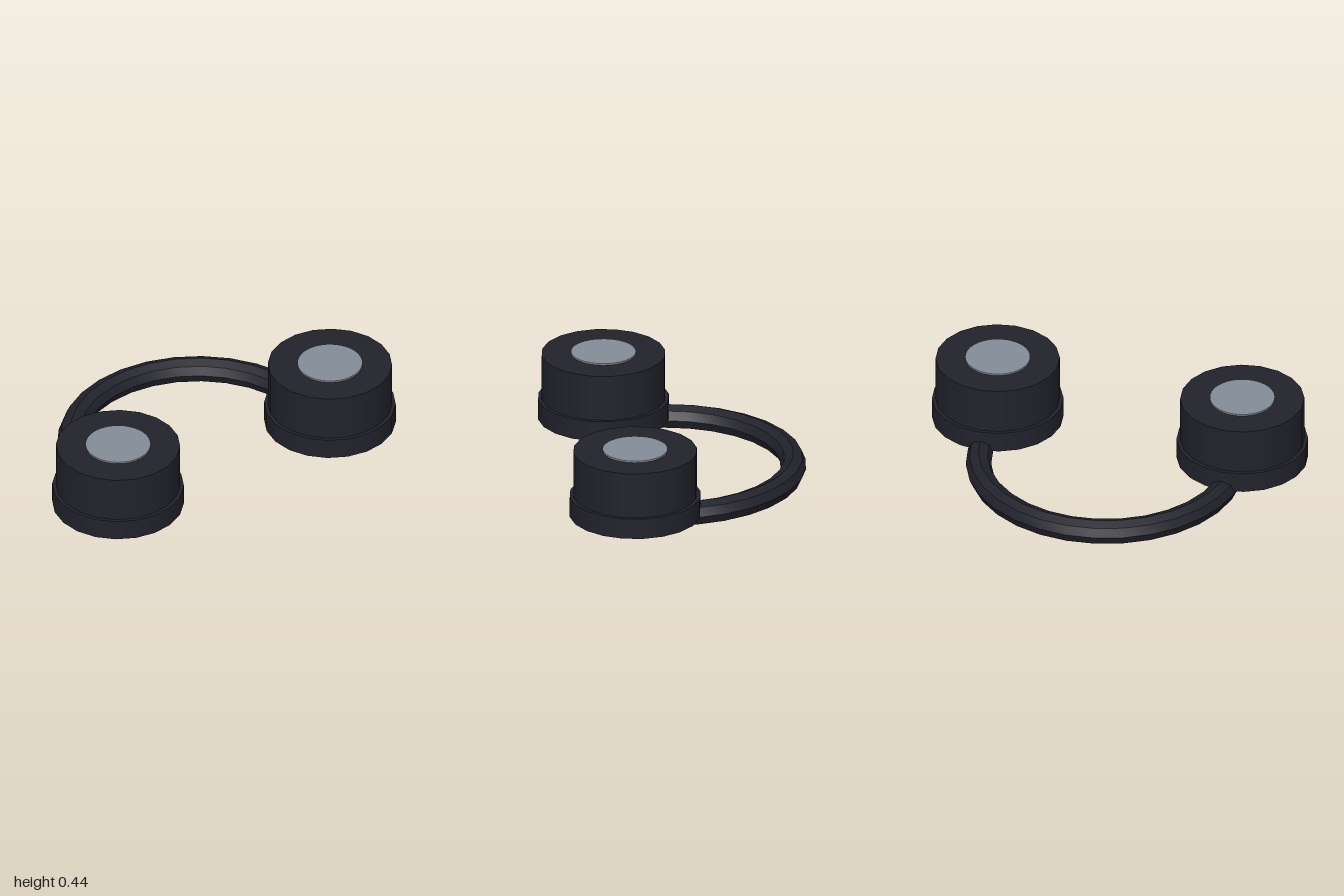
import * as THREE from 'three';
import { toCreasedNormals } from 'three/addons/utils/BufferGeometryUtils.js';

export function createModel() {
  const model = new THREE.Group();
  model.name = 'headphones';

  const shell = new THREE.MeshStandardMaterial({ color: 0x22222c });
  shell.name = 'dark shell';
  const metal = new THREE.MeshStandardMaterial({ color: 0x848d99 });
  metal.name = 'grey disc';

  const add = (parent, name, geometry, material) => {
    const mesh = new THREE.Mesh(geometry, material);
    mesh.name = name;
    parent.add(mesh);
    return mesh;
  };

  // Headband: octagonal tube swept a little past a half circle
  const R = 0.66, r = 0.066;
  const halfArc = THREE.MathUtils.degToRad(95.5);
  const headband = new THREE.Group();
  headband.name = 'headband';
  headband.position.set(0, 0.068, 0.07);
  model.add(headband);

  const section = [];
  for (let i = 0; i <= 8; i++) {
    const a = (i / 8) * Math.PI * 2;
    section.push(new THREE.Vector2(R + r * Math.cos(a), r * Math.sin(a)));
  }
  const arc = new THREE.LatheGeometry(section, 16, Math.PI - halfArc, halfArc * 2);
  add(headband, 'bandArc', toCreasedNormals(arc, 0.7), shell);

  // Flat ends that close the tube
  for (const side of [-1, 1]) {
    const phi = Math.PI + side * halfArc;
    const cap = add(headband, side < 0 ? 'leftBandEnd' : 'rightBandEnd', new THREE.CircleGeometry(r, 8), shell);
    cap.position.set(R * Math.sin(phi), 0, R * Math.cos(phi));
    cap.rotation.y = phi + side * Math.PI / 2;
  }

  // Ear cups: wide base rim, deep cushion and a thin grey disc on top
  const cupParts = [
    ['baseRim', 0.34, 0.08, 0.19, 20, shell],
    ['cushion', 0.321, 0.19, 0.435, 20, shell],
    ['speakerDisc', 0.168, 0.435, 0.444, 40, metal],
  ];
  for (const side of [-1, 1]) {
    const cup = new THREE.Group();
    cup.name = side < 0 ? 'rightEarCup' : 'leftEarCup';
    cup.position.set(side * 0.66, 0, 0.312);
    for (const [name, radius, y0, y1, sides, material] of cupParts) {
      const part = add(cup, name, new THREE.CylinderGeometry(radius, radius, y1 - y0, sides), material);
      part.position.y = (y0 + y1) / 2;
    }
    model.add(cup);
  }

  return model;
}
